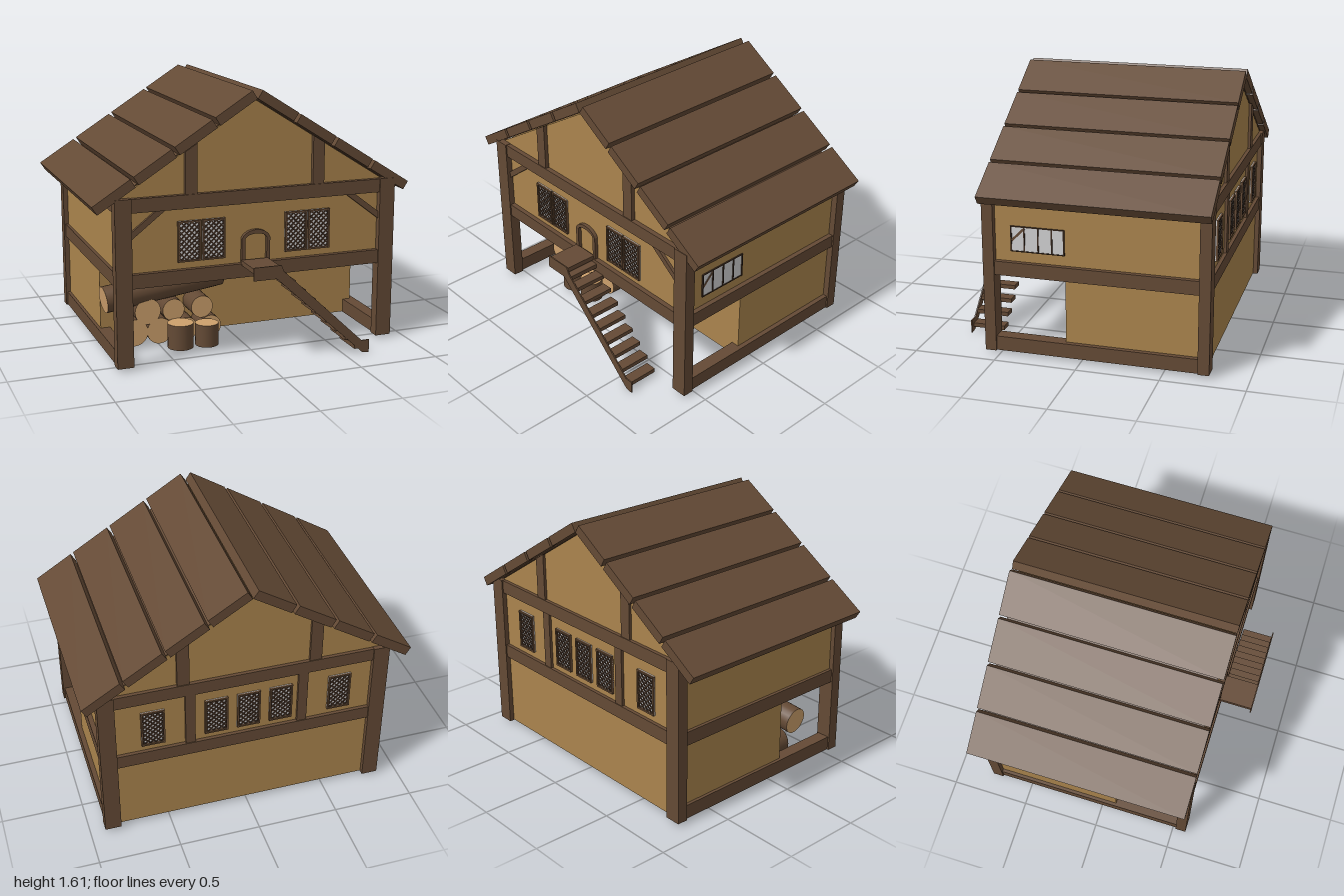
import * as THREE from 'three';

const mat = (name, color) => {
  const m = new THREE.MeshStandardMaterial({ color });
  m.name = name;
  return m;
};

export function createModel() {
  const root = new THREE.Group();
  root.name = 'timberHouse';
  const plaster = mat('plaster', 0xaa844d);
  const wood = mat('wood', 0x644a35);
  const cutWood = mat('cutWood', 0xcda06c);
  const glass = mat('glass', 0xd0d0d2);
  const lead = mat('darkLattice', 0x3d2c20);

  const add = (name, geo, material, parent = root) => {
    const m = new THREE.Mesh(geo, material);
    m.name = name;
    parent.add(m);
    return m;
  };
  // box given by its minimum and maximum on each axis
  const box = (name, x0, x1, y0, y1, z0, z1, material = wood, parent = root) => {
    const m = add(name, new THREE.BoxGeometry(x1 - x0, y1 - y0, z1 - z0), material, parent);
    m.position.set((x0 + x1) / 2, (y0 + y1) / 2, (z0 + z1) / 2);
    return m;
  };
  // flat bar from (ax, ay) to (bx, by) in an xy plane
  const bar = (name, ax, ay, bx, by, width, depth, z, material = wood, parent = root) => {
    const m = add(name, new THREE.BoxGeometry(Math.hypot(bx - ax, by - ay), width, depth), material, parent);
    m.position.set((ax + bx) / 2, (ay + by) / 2, z);
    m.rotation.z = Math.atan2(by - ay, bx - ax);
    return m;
  };
  const polygon = (points) => new THREE.Shape(points.map(([x, y]) => new THREE.Vector2(x, y)));
  const extrude = (shape, depth) =>
    new THREE.ExtrudeGeometry(shape, { depth, bevelEnabled: false, curveSegments: 12 });

  // walls: narrow ground floor at the back, full upper floor with gables
  box('groundFloor', -0.84, 0.87, 0.025, 0.53, -0.74, 0.095, plaster);
  const upper = add('upperFloor', extrude(polygon(
    [[-0.84, 0.505], [0.87, 0.505], [0.87, 1.005], [0, 1.553], [-0.84, 1.024]]), 1.29), plaster);
  upper.position.z = -0.74;

  // corner posts
  for (const x of [-0.87, 0.81])
    for (const z of [-0.77, 0.52]) box('cornerPost', x, x + 0.1, 0.02, 1.03, z, z + 0.068);

  // front and back beams, gable studs
  for (const [z0, z1] of [[-0.762, -0.71], [0.53, 0.58]]) {
    box('middleBeam', -0.78, 0.82, 0.495, 0.58, z0, z1);
    box('topBeam', -0.78, 0.82, 0.945, 1.028, z0, z1);
    for (const x of [-0.405, 0.4]) {
      const top = 1.553 - 0.63 * 0.4;
      add('gableStud', extrude(polygon([
        [x - 0.037, 1.02], [x + 0.037, 1.02],
        [x + 0.037, top - Math.sign(x) * 0.023], [x - 0.037, top + Math.sign(x) * 0.023],
      ]), z1 - z0 - 0.01), wood).position.z = z0 + 0.005;
    }
  }
  for (const x of [-0.335, 0.36]) box('backStud', x - 0.03, x + 0.03, 0.57, 0.955, -0.757, -0.72);

  // side beams
  for (const x of [-0.86, 0.82])
    for (const [y0, y1] of [[0.022, 0.11], [0.5, 0.585], [0.94, 1.0]])
      box('sideBeam', x, x + 0.08, y0, y1, -0.71, 0.53);

  // diagonal braces under the front top beam
  bar('brace', -0.79, 0.79, -0.57, 0.96, 0.035, 0.03, 0.553);
  bar('brace', 0.83, 0.785, 0.6, 0.96, 0.035, 0.03, 0.553);

  // roof: four planks on each slope over a thin lining
  const pitch = Math.atan(0.63);
  const c = Math.cos(pitch), s = Math.sin(pitch);
  for (const side of [-1, 1]) {
    const place = (m, along, down) => {
      m.position.set(side * (0.032 + along * c - down * s), 1.612 - along * s - down * c, -0.0975);
      m.rotation.z = -side * pitch;
    };
    for (let i = 0; i < 4; i++)
      place(add('roofPlank', new THREE.BoxGeometry(0.27, 0.058, 1.365), wood), 0.135 + i * 0.292, 0.029);
    place(add('roofLining', new THREE.BoxGeometry(1.0, 0.006, 1.29), wood), 0.53, 0.06);
  }

  // lattice window, centred on the origin and facing +z
  const latticeWindow = (x, z, facing) => {
    const g = new THREE.Group();
    g.name = 'latticeWindow';
    const w = 0.071, h = 0.123, f = 0.01;
    box('pane', -w, w, -h, h, -0.004, 0.002, glass, g);
    for (const sgn of [-1, 1]) {
      box('frameSide', sgn * (w - f / 2) - f / 2, sgn * (w - f / 2) + f / 2, -h, h, -0.005, 0.014, wood, g);
      box('frameRail', -w, w, sgn * (h - f / 2) - f / 2, sgn * (h - f / 2) + f / 2, -0.005, 0.013, wood, g);
    }
    // diagonal strips y = dir * x + k, cut off at the frame
    const iw = w - f, ih = h - f;
    for (const dir of [-1, 1])
      for (let k = -0.16; k < 0.165; k += 0.032) {
        const xs = [(-ih - k) * dir, (ih - k) * dir].sort((a, b) => a - b);
        const a = Math.max(-iw, xs[0]), b = Math.min(iw, xs[1]);
        if (b - a > 0.005) bar('latticeStrip', a, dir * a + k, b, dir * b + k, 0.0085, 0.004, 0.005, lead, g);
      }
    g.position.set(x, 0.745, z);
    if (facing < 0) g.rotation.y = Math.PI;
    root.add(g);
  };
  for (const x of [-0.415, -0.263, 0.263, 0.413]) latticeWindow(x, 0.553, 1);
  for (const x of [-0.57, -0.2, 0, 0.2, 0.585]) latticeWindow(x, -0.743, -1);

  // plain window on the left side wall
  box('sidePane', 0.868, 0.874, 0.65, 0.8, 0.1, 0.42, glass);
  for (const z of [0.1, 0.173, 0.256, 0.34, 0.42])
    box('sideMullion', 0.869, 0.879, 0.648, 0.802, z - 0.004, z + 0.004, lead);
  for (const y of [0.65, 0.8]) box('sideRail', 0.869, 0.878, y - 0.003, y + 0.003, 0.1, 0.42, lead);
  const strut = add('sideStrut', new THREE.BoxGeometry(0.006, 0.014, 0.115), wood);
  strut.position.set(0.874, 0.751, 0.38);
  strut.rotation.x = Math.PI / 4;

  // arched door frame
  const arch = (w, top) => {
    const p = new THREE.Shape();
    p.moveTo(-w, 0.58);
    p.lineTo(w, 0.58);
    p.lineTo(w, 0.73);
    p.bezierCurveTo(w * 0.75, top, -w * 0.75, top, -w, 0.73);
    return p;
  };
  const frame = arch(0.09, 0.797);
  frame.holes.push(arch(0.068, 0.765));
  add('doorFrame', extrude(frame, 0.025), wood).position.z = 0.548;

  // outside stair: thin stringer, landing and treads
  add('stairStringer', extrude(polygon([
    [-0.1, 0.53], [0.045, 0.53], [0.615, 0.005], [0.66, 0], [0.66, 0.08], [0.61, 0.08],
    [0.092, 0.57], [0.075, 0.61], [-0.1, 0.61]]), 0.008), wood).position.z = 0.777;
  box('landing', -0.095, 0.075, 0.57, 0.6, 0.57, 0.779);
  box('landingStep', 0.03, 0.11, 0.53, 0.558, 0.57, 0.779);
  for (let i = 0; i < 8; i++) {
    const x = 0.135 + i * 0.0665, y = 0.492 - i * 0.0643;
    box('tread', x - 0.035, x + 0.035, y - 0.013, y + 0.013, 0.575, 0.779);
  }

  // logs: bark around, pale cut ends
  const log = (name, a, b, r) => {
    const from = new THREE.Vector3(...a), to = new THREE.Vector3(...b);
    const dir = to.clone().sub(from);
    const m = add(name, new THREE.CylinderGeometry(r, r, dir.length(), 24), [wood, cutWood, cutWood]);
    m.position.copy(from).add(to).multiplyScalar(0.5);
    m.quaternion.setFromUnitVectors(new THREE.Vector3(0, 1, 0), dir.normalize());
  };
  log('longLog', [-0.85, 0.33, 0.215], [-0.09, 0.417, 0.17], 0.082);
  for (const [x, y, r] of [[-0.67, 0.112, 0.085], [-0.51, 0.108, 0.082], [-0.585, 0.24, 0.082],
    [-0.34, 0.1, 0.075], [-0.42, 0.232, 0.07], [-0.235, 0.232, 0.07], [-0.18, 0.1, 0.07]])
    log('stackedLog', [x, y, 0.1], [x, y, 0.265], r);
  log('stump', [-0.405, 0.022, 0.35], [-0.405, 0.178, 0.35], 0.08);
  log('stump', [-0.235, 0.018, 0.35], [-0.235, 0.158, 0.35], 0.072);

  return root;
}
